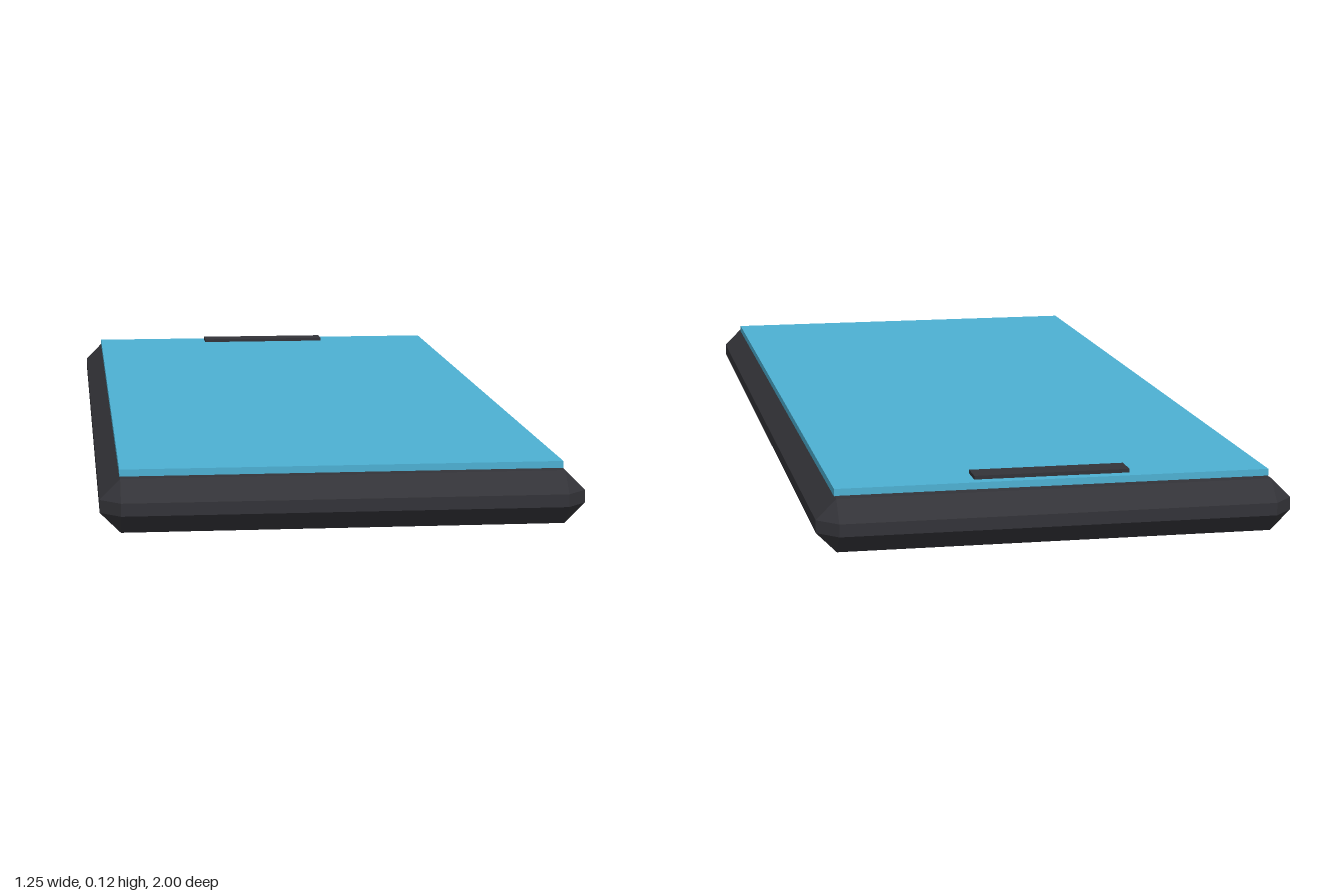
import * as THREE from 'three';
import { ConvexGeometry } from 'three/addons/geometries/ConvexGeometry.js';

// Box with every edge cut by c: three corner points per octant
function chamferedBox(w, h, d, c) {
  const x = w / 2, y = h / 2, z = d / 2, points = [];
  for (const sx of [-1, 1]) for (const sy of [-1, 1]) for (const sz of [-1, 1]) {
    points.push(
      new THREE.Vector3(sx * x, sy * (y - c), sz * (z - c)),
      new THREE.Vector3(sx * (x - c), sy * y, sz * (z - c)),
      new THREE.Vector3(sx * (x - c), sy * (y - c), sz * z)
    );
  }
  return new ConvexGeometry(points);
}

export function createModel() {
  const casing = new THREE.MeshStandardMaterial({ name: 'charcoal casing', color: 0x333338 });
  const glass = new THREE.MeshStandardMaterial({ name: 'blue screen', color: 0x4db0d3 });

  const phone = new THREE.Group();
  phone.name = 'phone';

  function add(name, geometry, material, y, z = 0) {
    const mesh = new THREE.Mesh(geometry, material);
    mesh.name = name;
    mesh.position.set(0, y, z);
    phone.add(mesh);
  }

  // Bevelled slab
  add('body', chamferedBox(0.898, 0.1, 1.87, 0.038), casing, 0.05);
  // Raised screen plate
  add('screen', new THREE.BoxGeometry(0.824, 0.014, 1.75), glass, 0.106);
  // Speaker bar near the far end
  add('speaker', new THREE.BoxGeometry(0.296, 0.008, 0.05), casing, 0.116, -0.828);

  // The phone lies turned on the ground
  phone.rotation.y = THREE.MathUtils.degToRad(-12);
  const model = new THREE.Group();
  model.name = 'model';
  model.add(phone);
  return model;
}
